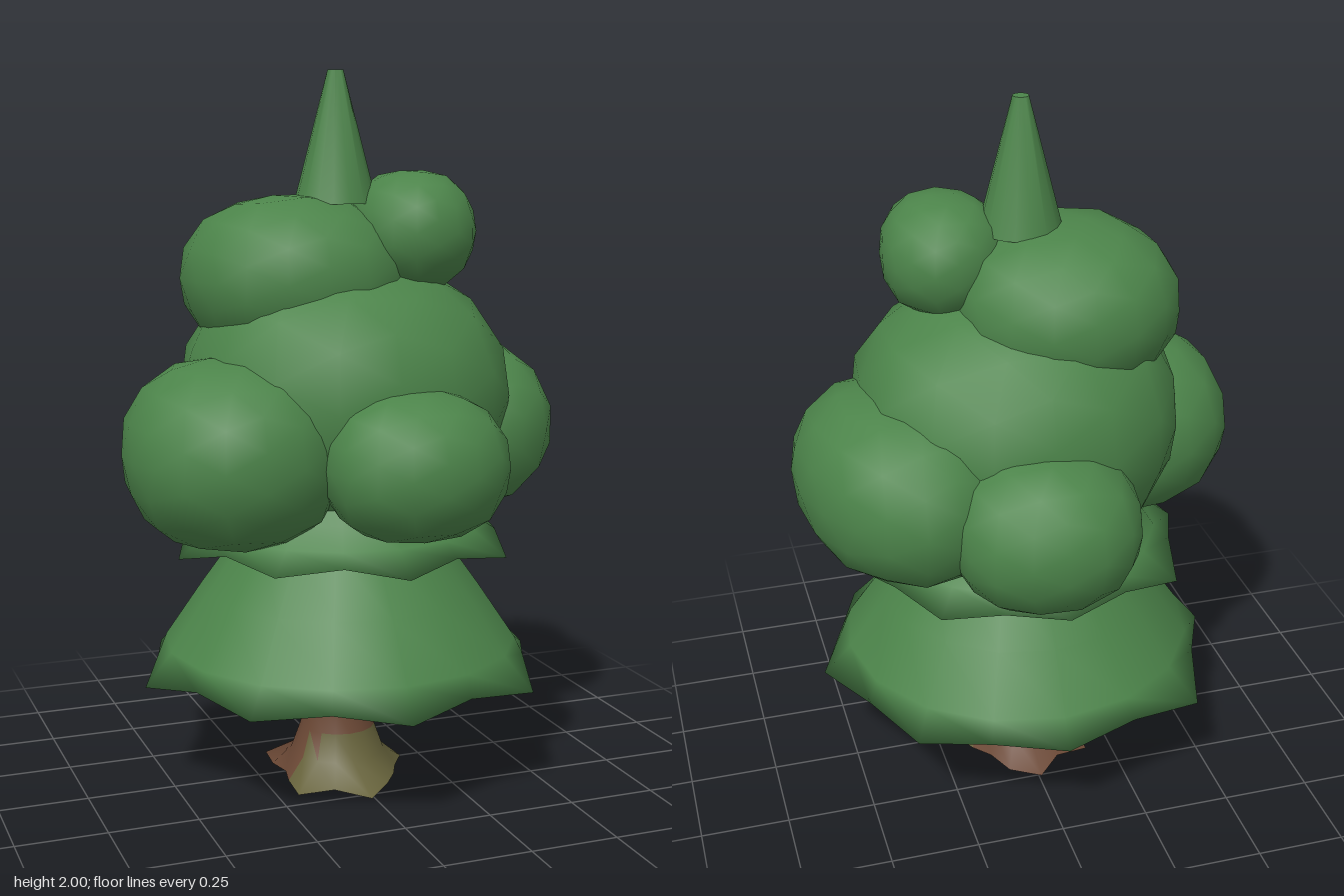
import * as THREE from 'three';
import { toCreasedNormals } from 'three/addons/utils/BufferGeometryUtils.js';

function flat(name, color) {
  const material = new THREE.MeshStandardMaterial({ color, side: THREE.DoubleSide });
  material.name = name;
  return material;
}
const leaf = flat('leaf green', 0x4c844a);
const bark = flat('bark brown', 0x6b4835);
const moss = flat('moss olive', 0x66623b);

function addMesh(group, name, geometry, material) {
  const mesh = new THREE.Mesh(geometry, material);
  mesh.name = name;
  group.add(mesh);
  return mesh;
}

// Lathe whose points at ring `row` follow a list of radii, one per side
function raggedLathe(profile, row, radii, dip = 0) {
  const n = radii.length;
  const geo = new THREE.LatheGeometry(profile.map(p => new THREE.Vector2(...p)), n);
  const pos = geo.attributes.position;
  for (let i = row; i < pos.count; i += profile.length) {
    const a = Math.atan2(pos.getZ(i), pos.getX(i));
    const k = ((Math.round(a / (2 * Math.PI) * n) % n) + n) % n;
    const wave = dip * (k % 2 ? 1 : -1) * (k % 3 ? 1 : 0.4);
    pos.setXYZ(i, Math.cos(a) * radii[k], pos.getY(i) + wave, Math.sin(a) * radii[k]);
  }
  return toCreasedNormals(geo, Math.PI);
}

// Slightly boxy and lumpy, smooth-shaded ellipsoid
function clump([rx, ry, rz], seed) {
  const geo = new THREE.IcosahedronGeometry(1, 2);
  const pos = geo.attributes.position;
  const v = new THREE.Vector3();
  const boxy = 2.3;
  for (let i = 0; i < pos.count; i++) {
    v.fromBufferAttribute(pos, i);
    const sum = Math.abs(v.x) ** boxy + Math.abs(v.y) ** boxy + Math.abs(v.z) ** boxy;
    const lump = sum ** (-1 / boxy) * (1 + 0.02 * Math.sin(4 * v.x + seed) * Math.cos(5 * v.z + 2 * seed));
    pos.setXYZ(i, v.x * rx * lump, v.y * ry * lump, v.z * rz * lump);
  }
  return toCreasedNormals(geo, Math.PI);
}

// Splits triangles in two by a test on their centres
function splitFaces(geo, test) {
  const out = [[[], []], [[], []]];
  const p = geo.attributes.position.array, n = geo.attributes.normal.array;
  for (let i = 0; i < p.length; i += 9) {
    const mid = [0, 1, 2].map(k => (p[i + k] + p[i + 3 + k] + p[i + 6 + k]) / 3);
    const side = out[test(...mid) ? 0 : 1];
    side[0].push(...p.slice(i, i + 9));
    side[1].push(...n.slice(i, i + 9));
  }
  return out.map(([pp, nn]) => {
    const g = new THREE.BufferGeometry();
    g.setAttribute('position', new THREE.Float32BufferAttribute(pp, 3));
    g.setAttribute('normal', new THREE.Float32BufferAttribute(nn, 3));
    return g;
  });
}

export function createModel() {
  const tree = new THREE.Group();
  tree.name = 'tree';

  // Open-bottomed trunk with five flared roots, mossy at the front
  const trunk = new THREE.Group();
  trunk.name = 'trunk';
  const roots = [0.2, 0.17, 0.18, 0.21, 0.28, 0.2, 0.26, 0.19,
    0.16, 0.19, 0.235, 0.19, 0.255, 0.22, 0.17, 0.18];
  const trunkGeo = raggedLathe(
    [[0.2, 0], [0.135, 0.055], [0.108, 0.13], [0.092, 0.2], [0.085, 0.32], [0.08, 0.6]], 0, roots);
  const [mossGeo, barkGeo] = splitFaces(trunkGeo,
    (x, y, z) => y < 0.115 + 0.15 * x && z + 0.5 * x > 0);
  addMesh(trunk, 'bark', barkGeo, bark);
  addMesh(trunk, 'moss', mossGeo, moss);
  trunk.position.x = -0.008;
  tree.add(trunk);

  // Two ragged skirts of branches, hollow underneath
  const rim = [0.585, 0.53, 0.59, 0.52, 0.55, 0.55, 0.565, 0.53,
    0.58, 0.53, 0.6, 0.54, 0.55, 0.54, 0.55, 0.53];
  addMesh(tree, 'lowerSkirt', raggedLathe(
    [[0.07, 0.46], [0.3, 0.42], [0.47, 0.355], [0.55, 0.322], [0.505, 0.395], [0.4, 0.55], [0.285, 0.71], [0.2, 0.84]],
    3, rim, 0.02), leaf);
  const upper = addMesh(tree, 'upperSkirt', raggedLathe(
    [[0.2, 0.74], [0.36, 0.715], [0.46, 0.69], [0.4, 0.74], [0.36, 0.8], [0.25, 1.0]],
    2, rim.map(r => r * 0.84), 0.02), leaf);
  upper.rotation.y = 0.06;

  // Rounded foliage clumps: centre, radii, turn about the vertical
  const clumps = {
    crownClump: [[0.01, 1.11, 0], [0.455, 0.375, 0.44], 0],
    leftClump: [[0.365, 0.995, -0.11], [0.265, 0.255, 0.365], 0.28],
    rightClump: [[-0.36, 0.98, 0.13], [0.295, 0.26, 0.32], 0],
    frontClump: [[0.06, 0.965, 0.39], [0.25, 0.205, 0.235], 0],
    backClump: [[0.03, 0.945, -0.36], [0.265, 0.225, 0.27], 0],
    upperClump: [[-0.125, 1.435, -0.03], [0.31, 0.23, 0.305], 0],
    smallClump: [[0.185, 1.565, 0.075], [0.17, 0.165, 0.195], 0],
  };
  Object.entries(clumps).forEach(([name, [centre, radii, turn]], i) => {
    const mesh = addMesh(tree, name, clump(radii, i * 1.7), leaf);
    mesh.position.set(...centre);
    mesh.rotation.y = turn;
  });

  // Pointed tip
  const tip = addMesh(tree, 'tip', toCreasedNormals(
    new THREE.CylinderGeometry(0.022, 0.115, 0.36, 16), 1.0), leaf);
  tip.position.set(-0.015, 1.82, 0.005);

  return tree;
}
